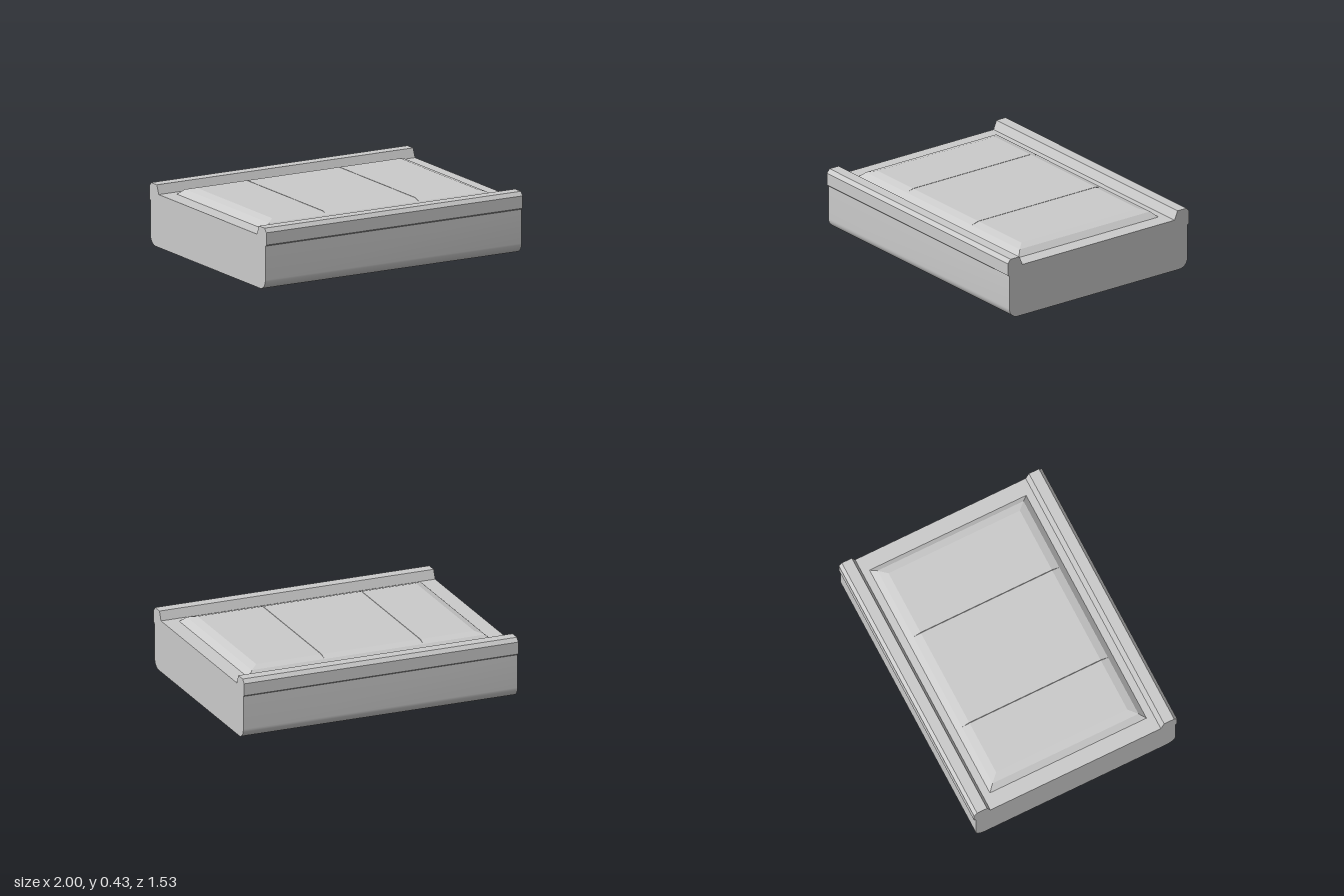
import * as THREE from 'three';
import { toCreasedNormals } from 'three/addons/utils/BufferGeometryUtils.js';

const material = new THREE.MeshStandardMaterial({ color: 0xcccccc });

// Solid tray: a side profile with two lipped rails, run along x
function trayGeometry() {
  const r = 0.07, half = 0.75;
  const shape = new THREE.Shape();
  shape.moveTo(-half + r, 0);
  shape.lineTo(half - r, 0);
  shape.absarc(half - r, r, r, -Math.PI / 2, 0, false);
  const rail = [[0.75, 0.305], [0.763, 0.315], [0.763, 0.4], [0.74, 0.427], [0.665, 0.427], [0.64, 0.365]];
  rail.forEach(([z, y]) => shape.lineTo(z, y));
  [...rail].reverse().forEach(([z, y]) => shape.lineTo(-z, y));
  shape.lineTo(-half, r);
  shape.absarc(-half + r, r, r, Math.PI, Math.PI * 1.5, false);
  const geometry = new THREE.ExtrudeGeometry(shape, { depth: 2, bevelEnabled: false, curveSegments: 5 });
  geometry.translate(0, 0, -1).rotateY(-Math.PI / 2);
  return toCreasedNormals(geometry, 0.5);
}

// One length of the raised panel: stacked rectangles, chamfered at its outer sides
function panelGeometry(x0, x1, bevelLeft, bevelRight) {
  const levels = [[0.36, 0, 0], [0.365, 0, 0], [0.402, 0.04, 0], [0.418, 0.095, 0.002]]; // height, chamfer, seam
  const rings = levels.map(([y, chamfer, seam]) => {
    const a = x0 + (bevelLeft ? chamfer : seam);
    const b = x1 - (bevelRight ? chamfer : seam);
    const z = 0.588 - chamfer;
    return [[a, y, z], [b, y, z], [b, y, -z], [a, y, -z]];
  });
  const points = [];
  const quad = (a, b, c, d) => points.push(...a, ...b, ...c, ...a, ...c, ...d);
  for (let i = 0; i < rings.length - 1; i++) {
    for (let j = 0; j < 4; j++) {
      const k = (j + 1) % 4;
      quad(rings[i][j], rings[i][k], rings[i + 1][k], rings[i + 1][j]);
    }
  }
  quad(...rings[rings.length - 1]);
  const geometry = new THREE.BufferGeometry();
  geometry.setAttribute('position', new THREE.Float32BufferAttribute(points, 3));
  geometry.computeVertexNormals();
  return geometry;
}

export function createModel() {
  const model = new THREE.Group();
  model.name = 'railedBlock';
  const add = (name, geometry) => {
    const mesh = new THREE.Mesh(geometry, material);
    mesh.name = name;
    model.add(mesh);
  };

  add('bodyWithRails', trayGeometry());

  // Raised panel in three lengths, with fine seams between them
  const cuts = [-0.89, -0.4, 0.32, 0.89];
  ['rightPanel', 'middlePanel', 'leftPanel'].forEach((name, i) =>
    add(name, panelGeometry(cuts[i], cuts[i + 1], i === 0, i === 2)));

  return model;
}
